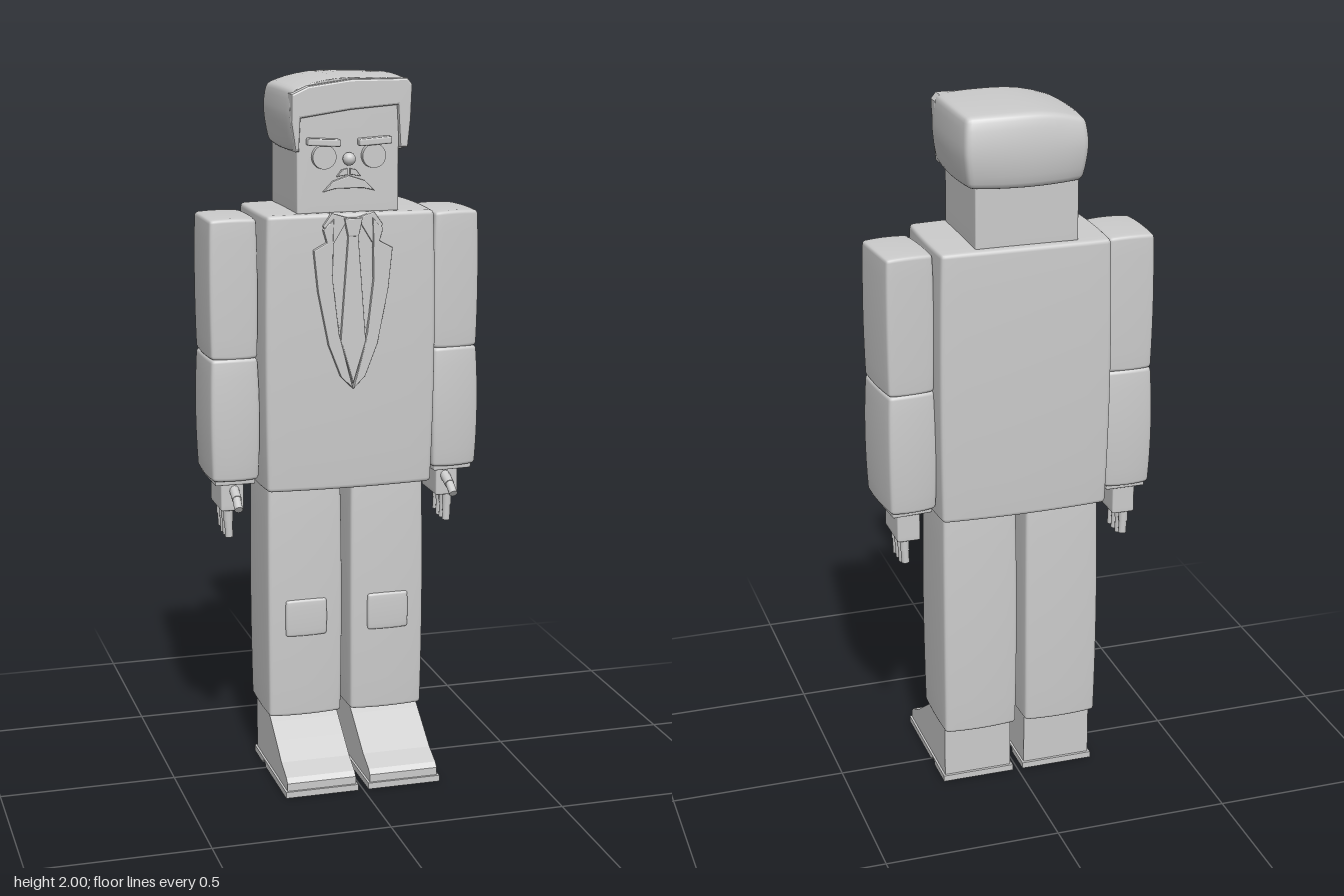
import * as THREE from 'three';
import { mergeVertices } from 'three/addons/utils/BufferGeometryUtils.js';

const mat = new THREE.MeshStandardMaterial({ color: 0xcccccc });

// Box with rounded edges and softly swollen faces; reshape(p, u, v, w) may bend it further
function puff([w, h, d], r, [bx, by, bz], reshape) {
  const n = 12, half = [w / 2, h / 2, d / 2];
  let geo = new THREE.BoxGeometry(2, 2, 2, n, n, n);
  geo.deleteAttribute('uv');
  geo.deleteAttribute('normal');
  geo = mergeVertices(geo, 1e-4);
  const pos = geo.attributes.position;
  // grid line -> coordinate, with extra lines close to the edges
  const line = (t, H) => {
    const k = Math.round((t + 1) * n / 2), e = Math.min(k, n - k), s = k < n / 2 ? -1 : 1;
    if (e < 3) return s * (H - r * [0, 0.41, 1][e]);
    return (H - r) * (k - n / 2) / (n / 2 - 2);
  };
  const p = new THREE.Vector3(), inner = new THREE.Vector3(), lim = new THREE.Vector3(...half).subScalar(r);
  for (let i = 0; i < pos.count; i++) {
    p.set(line(pos.getX(i), half[0]), line(pos.getY(i), half[1]), line(pos.getZ(i), half[2]));
    inner.copy(p).clamp(lim.clone().negate(), lim);
    p.sub(inner).setLength(r).add(inner);
    const u = p.x / half[0], v = p.y / half[1], q = p.z / half[2];
    p.x += u * bx * (1 - (v * v + q * q) / 2);
    p.y += v * by * (1 - (u * u + q * q) / 2);
    p.z += q * bz * (1 - (u * u + v * v) / 2);
    if (reshape) reshape(p, u, v, q);
    pos.setXYZ(i, p.x, p.y, p.z);
  }
  geo.computeVertexNormals();
  return geo;
}

// Flat plate cut from an outline in x, y
function plate(points, depth, bevel = 0.003) {
  const shape = new THREE.Shape(points.map(([x, y]) => new THREE.Vector2(x, y)));
  return new THREE.ExtrudeGeometry(shape, {
    depth, bevelEnabled: bevel > 0, bevelThickness: bevel, bevelSize: bevel, bevelOffset: -bevel, bevelSegments: 2,
  });
}

// Cylinder between two points
function rod(a, b, r) {
  const A = new THREE.Vector3(...a), B = new THREE.Vector3(...b), dir = B.clone().sub(A);
  const geo = new THREE.CylinderGeometry(r, r, dir.length(), 12);
  geo.applyQuaternion(new THREE.Quaternion().setFromUnitVectors(new THREE.Vector3(0, 1, 0), dir.normalize()));
  const mid = A.add(B).multiplyScalar(0.5);
  return geo.translate(mid.x, mid.y, mid.z);
}

export function createModel() {
  const model = new THREE.Group();
  const add = (parent, name, geo, x = 0, y = 0, z = 0) => {
    const mesh = new THREE.Mesh(geo, mat);
    mesh.name = name;
    mesh.position.set(x, y, z);
    parent.add(mesh);
    return mesh;
  };
  const group = (name) => {
    const g = new THREE.Group();
    g.name = name;
    model.add(g);
    return g;
  };

  // Jacket, narrowing in depth towards the hem
  add(model, 'jacket', puff([0.475, 0.775, 0.315], 0.012, [0.012, 0.004, 0.014],
    (p, u, v) => { p.z *= 0.965 + 0.035 * v; }), 0, 1.243, -0.05);

  // Shirt front, tie, lapels and collar
  const suit = group('suitFront');
  add(suit, 'shirtFront', plate([[-0.06, 1.61], [0.06, 1.61], [0.05, 1.35], [0, 1.18], [-0.05, 1.35]], 0.02), 0, 0, 0.094);
  add(suit, 'tie', plate([[-0.014, 1.575], [0.014, 1.575], [0.036, 1.28], [0, 1.16], [-0.036, 1.28]], 0.022), 0, 0, 0.102);
  add(suit, 'tieKnot', plate([[-0.026, 1.62], [0.026, 1.62], [0.015, 1.57], [-0.015, 1.57]], 0.026), 0, 0, 0.1);
  for (const s of [1, -1]) {
    const mirror = (pts) => pts.map(([x, y]) => [s * x, y]);
    add(suit, 'lapel', plate(mirror([[0.055, 1.62], [0.085, 1.59], [0.075, 1.555], [0.112, 1.535], [0.1, 1.42],
      [0.07, 1.27], [0.035, 1.18], [0, 1.145], [0.04, 1.3], [0.058, 1.45]]), 0.024), 0, 0, 0.1);
    add(suit, 'collar', plate(mirror([[0.012, 1.62], [0.06, 1.635], [0.085, 1.6], [0.055, 1.55]]), 0.02), 0, 0, 0.1);
  }

  // Head and face
  add(model, 'head', puff([0.288, 0.31, 0.28], 0.005, [0, 0, 0]), -0.005, 1.785, -0.05);
  const face = group('face');
  for (const s of [1, -1]) {
    const eye = new THREE.CylinderGeometry(0.033, 0.034, 0.02, 28).rotateX(Math.PI / 2);
    add(face, 'eye', eye, s * 0.07 - 0.005, 1.785, 0.095);
    const brow = add(face, 'eyebrow', puff([0.092, 0.02, 0.03], 0.004, [0, 0, 0]), s * 0.072 - 0.005, 1.825, 0.1);
    brow.rotation.z = s * 0.06;
    // Small half of the moustache under the nose
    const half = [[0.004, 1.752], [0.02, 1.748], [0.034, 1.73], [0.004, 1.735]].map(([x, y]) => [s * x, y]);
    add(face, 'moustache', plate(half, 0.012, 0.002), -0.005, 0, 0.086);
  }
  add(face, 'nose', new THREE.SphereGeometry(0.018, 16, 12), -0.005, 1.778, 0.1);
  add(face, 'mouth', plate([[-0.072, 1.69], [-0.045, 1.718], [0, 1.733], [0.045, 1.718], [0.072, 1.69],
    [0.04, 1.698], [-0.04, 1.698]], 0.012), -0.005, 0, 0.086);

  // Hair: swollen cap with a slanted fringe and sideburns
  const hair = group('hair');
  add(hair, 'hairCap', puff([0.326, 0.19, 0.295], 0.016, [0.014, 0.01, 0.032], (p, u, v) => {
    p.z = Math.min(p.z, 0.142);
    if (u < 0) p.y -= 0.026 * u * u * Math.max(0, v);
    if (v < 0) p.x *= 1 + 0.04 * v;
  }), 0.003, 1.895, -0.057);
  add(hair, 'fringe', plate([[-0.155, 1.8], [-0.167, 1.88], [-0.166, 1.955], [-0.12, 1.976], [0, 1.992], [0.16, 1.992],
    [0.174, 1.975], [0.17, 1.88], [0.162, 1.805], [0.14, 1.805], [0.133, 1.92], [0, 1.91], [-0.14, 1.89], [-0.145, 1.8]],
  0.03, 0.006), 0, 0, 0.066);

  for (const s of [1, -1]) {
    const side = s > 0 ? 'left' : 'right';

    // Arm
    const arm = group(side + 'Arm');
    arm.position.set(s * 0.317, 0, -0.055);
    arm.rotation.y = s > 0 ? 0.08 : 0;
    add(arm, 'upperArm', puff([0.13, 0.385, 0.2], 0.01, [0.006, 0.006, 0.006]), 0, 1.423, 0);
    add(arm, 'forearm', puff([0.13, 0.345, 0.2], 0.01, [0.009, 0.004, 0.014]), 0, 1.057, 0);
    add(arm, 'cuff', puff([0.115, 0.03, 0.18], 0.004, [0, 0, 0]), 0, 0.884, 0);

    // Hand with four fingers and a thumb pointing forward
    const hand = group(side + 'Hand');
    hand.position.x = s * 0.318;
    add(hand, 'palm', puff([0.066, 0.095, 0.135], 0.005, [0, 0, 0]), 0, 0.833, -0.064);
    for (let i = 0; i < 4; i++) {
      const z = -0.02 - i * 0.03, tip = i === 3 ? 0.715 : 0.705;
      add(hand, 'finger', rod([s * 0.008, 0.8, z], [s * 0.008, 0.752, z], 0.0135));
      add(hand, 'fingertip', rod([s * 0.008, 0.756, z], [s * 0.006, tip, z], 0.0115));
    }
    add(hand, 'thumb', rod([-s * 0.006, 0.85, -0.01], [-s * 0.004, 0.828, 0.04], 0.014));
    add(hand, 'thumbTip', rod([-s * 0.004, 0.832, 0.034], [-s * 0.002, 0.806, 0.07], 0.012));

    // Trouser leg with knee patch
    const leg = group(side + 'Leg');
    leg.position.x = s * 0.121;
    add(leg, 'trouserLeg', puff([0.212, 0.68, 0.215], 0.01, [0.005, 0.003, 0.013]), 0, 0.515, -0.055);
    add(leg, 'kneePatch', puff([0.116, 0.104, 0.02], 0.006, [0.003, 0.003, 0.003]), 0, 0.472, 0.06);

    // Shoe, cut from its side outline, with a sole and heel
    const slice = (pts, w) => plate(pts, w, 0).rotateY(-Math.PI / 2).translate(w / 2, 0, 0);
    add(leg, 'shoe', slice([[-0.13, 0.012], [-0.13, 0.18], [0.01, 0.18], [0.045, 0.158], [0.1, 0.12], [0.16, 0.078],
      [0.215, 0.053], [0.228, 0.04], [0.228, 0.012]], 0.2), 0, 0, 0);
    add(leg, 'sole', slice([[-0.138, 0], [-0.138, 0.018], [0.235, 0.018], [0.235, 0], [-0.005, 0], [-0.013, 0.012],
      [-0.033, 0.012], [-0.04, 0]], 0.212), 0, 0, 0);
  }
  return model;
}
